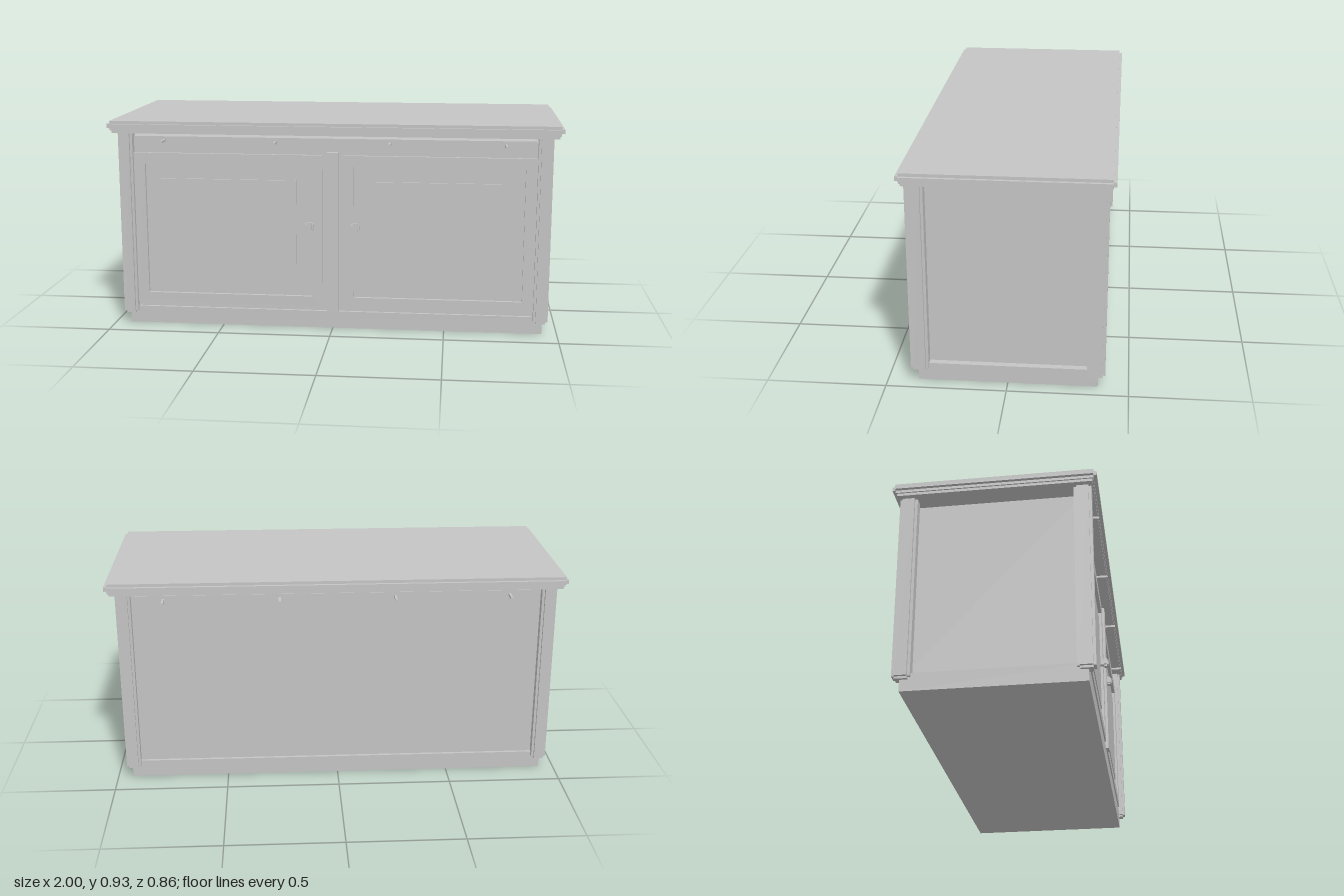
import * as THREE from 'three';

export function createModel() {
  const model = new THREE.Group();
  model.name = 'sideboard';
  const grey = new THREE.MeshStandardMaterial({ color: 0xc4c4c4 });
  grey.name = 'light grey';

  const add = (name, geometry, parent = model) => {
    const mesh = new THREE.Mesh(geometry, grey);
    mesh.name = name;
    parent.add(mesh);
    return mesh;
  };
  // Box given by its lower and upper limits on each axis
  const box = (name, x0, x1, y0, y1, z0, z1, parent) => {
    const mesh = add(name, new THREE.BoxGeometry(x1 - x0, y1 - y0, z1 - z0), parent);
    mesh.position.set((x0 + x1) / 2, (y0 + y1) / 2, (z0 + z1) / 2);
  };
  const rectangle = (path, x0, x1, y0, y1) => {
    path.moveTo(x0, y0);
    path.lineTo(x1, y0);
    path.lineTo(x1, y1);
    path.lineTo(x0, y1);
    path.closePath();
    return path;
  };

  // Plinth and carcass
  box('plinth', -0.933, 0.933, 0, 0.077, -0.373, 0.373);
  box('carcass', -0.905, 0.905, 0.077, 0.861, -0.36, 0.36);

  // Top with notched edges: three crossed slabs over a moulding
  const top = new THREE.Group();
  top.name = 'top';
  model.add(top);
  box('topSlab', -0.986, 0.986, 0.891, 0.934, -0.415, 0.415, top);
  box('topSideEdge', -1, 1, 0.903, 0.921, -0.415, 0.415, top);
  box('topFrontEdge', -0.986, 0.986, 0.903, 0.921, -0.429, 0.429, top);
  box('topMoulding', -0.98, 0.98, 0.879, 0.891, -0.41, 0.41, top);

  // Corner posts with notched edges
  for (const sx of [-1, 1]) for (const sz of [-1, 1]) {
    const post = new THREE.Group();
    post.name = 'cornerPost';
    post.position.set(sx * 0.925, 0, sz * 0.3655);
    model.add(post);
    box('postCore', -0.021, 0.021, 0.05, 0.88, -0.026, 0.026, post);
    box('postSideFace', -0.032, 0.032, 0.06, 0.88, -0.026, 0.026, post);
    box('postFrontFace', -0.021, 0.021, 0.06, 0.88, -0.0375, 0.0375, post);
  }

  // Stile between the doors
  box('centreStile', -0.025, 0.025, 0.077, 0.802, 0.355, 0.385);

  // Two doors, each a frame around a raised panel, with a knob
  for (const s of [-1, 1]) {
    const door = new THREE.Group();
    door.name = s < 0 ? 'rightDoor' : 'leftDoor';
    model.add(door);
    const span = (a, b) => (s > 0 ? [a, b] : [-b, -a]);

    const frame = rectangle(new THREE.Shape(), ...span(0.047, 0.895), 0.1, 0.788);
    frame.holes.push(rectangle(new THREE.Path(), ...span(0.093, 0.843), 0.144, 0.74));
    const frameMesh = add('doorFrame',
      new THREE.ExtrudeGeometry(frame, { depth: 0.019, bevelEnabled: false }), door);
    frameMesh.position.z = 0.356;
    box('doorPanel', ...span(0.163, 0.773), 0.213, 0.672, 0.355, 0.368, door);

    // Knob with notched edges
    const knob = new THREE.Group();
    knob.name = 'knob';
    knob.position.set(s * 0.102, 0.47, 0);
    door.add(knob);
    box('knobCore', -0.012, 0.012, -0.012, 0.012, 0.355, 0.402, knob);
    box('knobWide', -0.02, 0.02, -0.012, 0.012, 0.382, 0.396, knob);
    box('knobTall', -0.012, 0.012, -0.02, 0.02, 0.382, 0.396, knob);
  }

  // Small pegs under the top, front and back
  for (const x of [-0.755, -0.252, 0.252, 0.755]) for (const s of [-1, 1])
    box('peg', x - 0.005, x + 0.005, 0.838, 0.848, s < 0 ? -0.42 : 0.355, s < 0 ? -0.355 : 0.42);

  return model;
}
